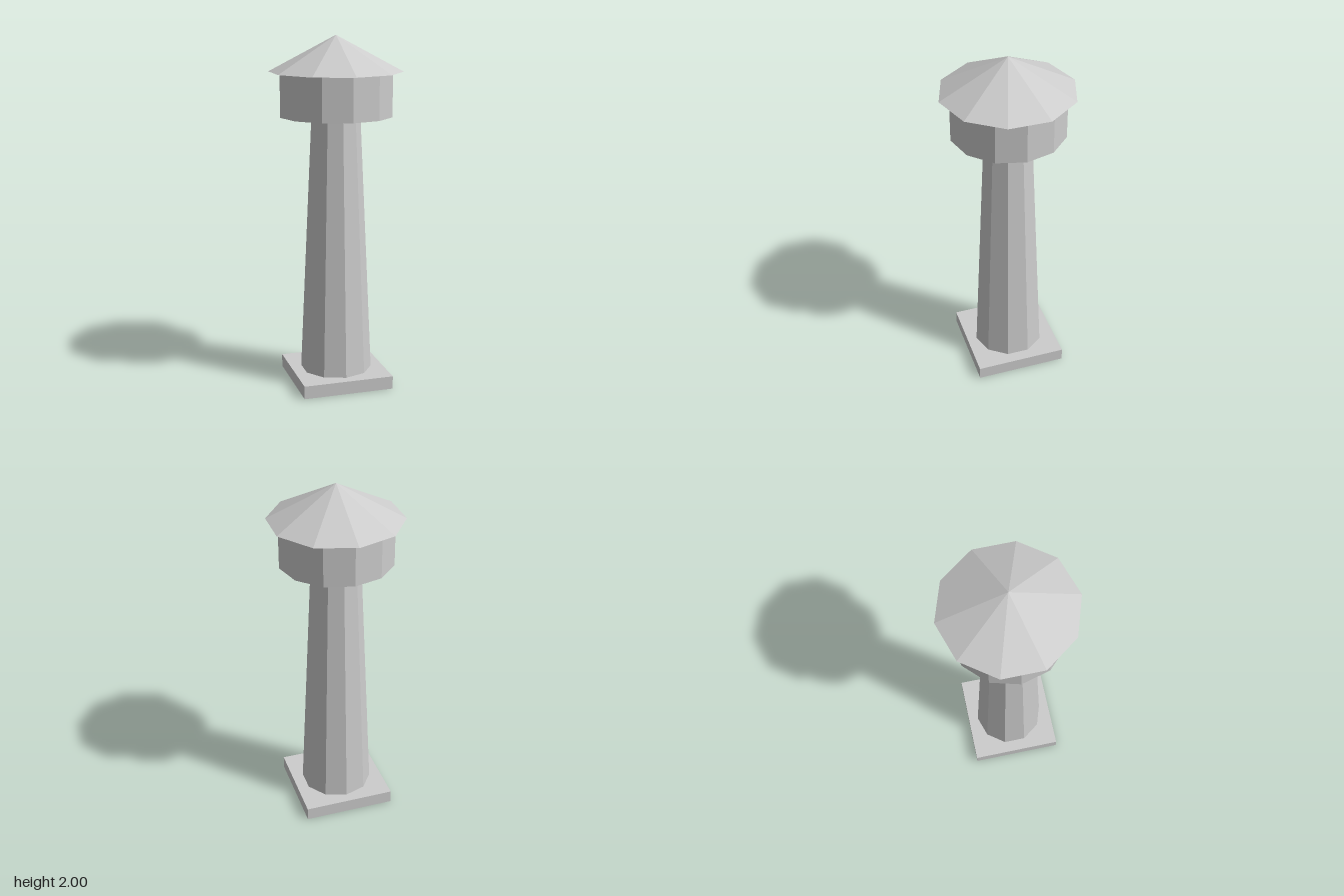
import * as THREE from 'three';

export function createModel() {
  const model = new THREE.Group();
  model.name = 'waterTower';
  const grey = new THREE.MeshStandardMaterial({ color: 0xcccccc, flatShading: true });
  grey.name = 'light grey';

  const add = (name, geometry, bottom, height) => {
    const mesh = new THREE.Mesh(geometry, grey);
    mesh.name = name;
    mesh.position.y = bottom + height / 2;
    model.add(mesh);
  };
  // upright faceted part with a corner facing the front
  const prism = (name, rTop, rBottom, bottom, top, sides) =>
    add(name, new THREE.CylinderGeometry(rTop, rBottom, top - bottom, sides), bottom, top - bottom);

  // square base slab
  add('base', new THREE.BoxGeometry(0.524, 0.075, 0.524), 0, 0.075);
  // tapering ten-sided shaft
  prism('shaft', 0.137, 0.205, 0.075, 1.555, 10);
  // twelve-sided tank
  prism('tank', 0.32, 0.32, 1.555, 1.8, 12);
  // overhanging ten-sided roof
  add('roof', new THREE.ConeGeometry(0.375, 0.2, 10), 1.8, 0.2);

  return model;
}
